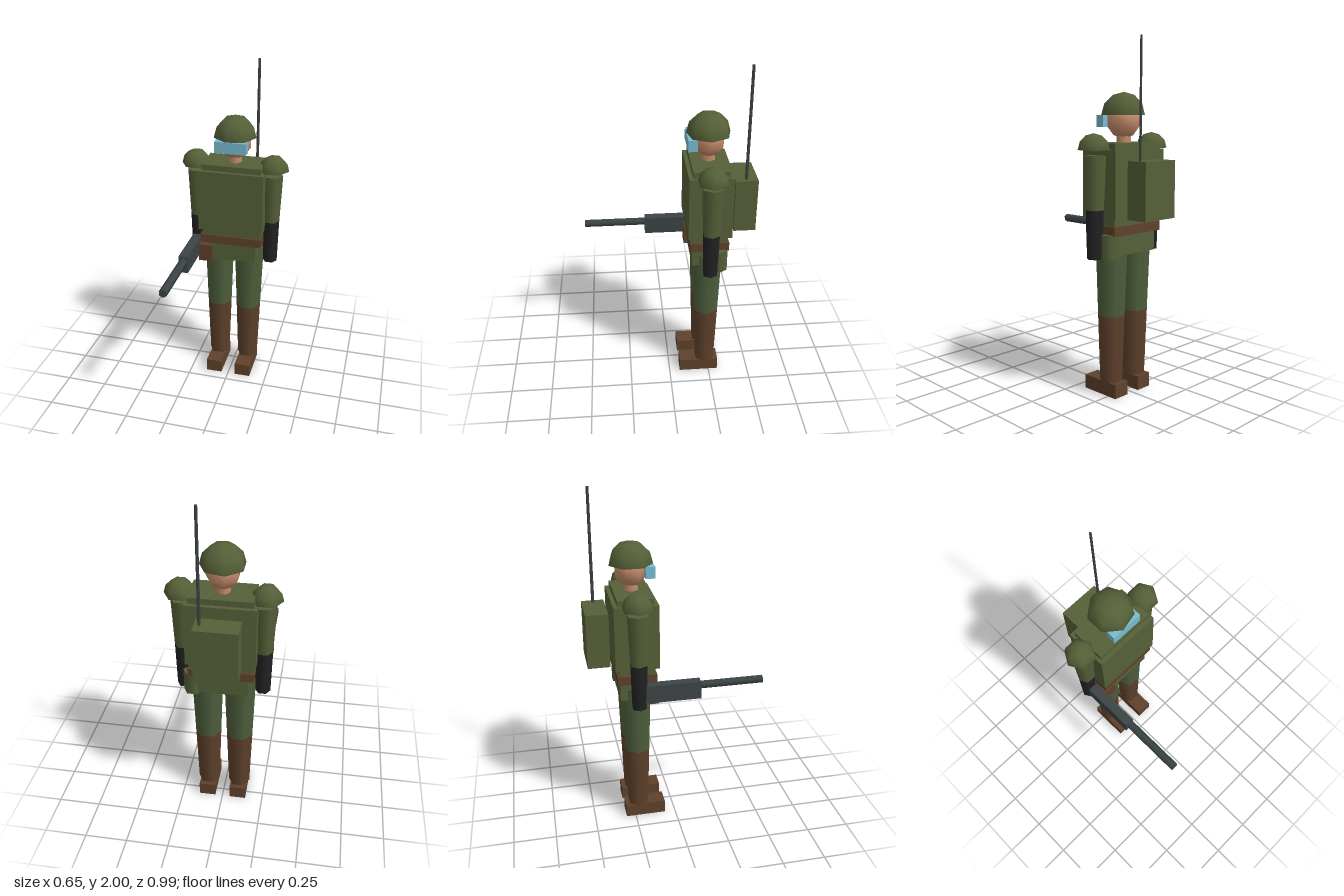
import * as THREE from 'three';

const mat = (name, color, side = THREE.FrontSide) => {
  const m = new THREE.MeshStandardMaterial({ color, side });
  m.name = name;
  return m;
};

export function createModel() {
  const olive = mat('olive armour', 0x556038, THREE.DoubleSide);
  const cloth = mat('green trousers', 0x4e5f3c);
  const leather = mat('brown leather', 0x5f412b);
  const skin = mat('skin', 0xc68e6c);
  const glass = mat('blue visor', 0x78bcd2);
  const black = mat('black glove', 0x222222);
  const metal = mat('gunmetal', 0x3c4446);

  const model = new THREE.Group();
  model.name = 'radioSoldier';
  const Z = -0.225; // body axis

  const add = (name, geometry, material, x, y, z) => {
    const mesh = new THREE.Mesh(geometry, material);
    mesh.name = name;
    mesh.position.set(x, y, z);
    model.add(mesh);
    return mesh;
  };
  // box given by its extents on each axis
  const box = (name, material, [x0, x1], [y0, y1], [z0, z1]) =>
    add(name, new THREE.BoxGeometry(x1 - x0, y1 - y0, z1 - z0), material,
      (x0 + x1) / 2, (y0 + y1) / 2, (z0 + z1) / 2);
  // upright cylinder between two heights, first corner on +x
  const post = (name, material, x, z, y0, y1, r0, r1, sides = 6) =>
    add(name, new THREE.CylinderGeometry(r1, r0, y1 - y0, sides).rotateY(Math.PI / 2),
      material, x, (y0 + y1) / 2, z);
  const dome = (name, x, y, r, sides) =>
    add(name, new THREE.SphereGeometry(r, sides, 3, 0, Math.PI * 2, 0, Math.PI / 2)
      .rotateY(Math.PI), olive, x, y, Z);
  // extents symmetric about a centre
  const span = (half, centre = 0) => [centre - half, centre + half];

  // torso
  box('pelvis', olive, span(0.155), [0.825, 0.96], span(0.097, Z));
  box('torso', olive, span(0.178), [0.95, 1.44], span(0.102, Z));
  box('vest', olive, span(0.196), [1.03, 1.405], span(0.125, Z));
  box('belt', leather, span(0.187), [0.938, 0.99], span(0.112, Z));

  // limbs
  for (const [side, s] of [['left', 1], ['right', -1]]) {
    box(side + 'Foot', leather, span(0.05, s * 0.095), [0, 0.082], [-0.307, -0.065]);
    post(side + 'Boot', leather, s * 0.095, Z, 0.08, 0.47, 0.065, 0.078);
    post(side + 'Thigh', cloth, s * 0.095, Z, 0.47, 0.89, 0.078, 0.092);
    post(side + 'Sleeve', olive, s * 0.227, Z, 1.08, 1.375, 0.051, 0.064);
    post(side + 'Glove', black, s * 0.227, Z, 0.81, 1.08, 0.044, 0.051);
    dome(side + 'ShoulderPad', s * 0.235, 1.405, 0.09, 6);
  }

  // head
  post('neck', skin, 0, Z, 1.42, 1.5, 0.042, 0.042);
  add('head', new THREE.SphereGeometry(0.098, 7, 5).rotateY(Math.PI), skin, 0, 1.56, Z);
  box('visor', glass, span(0.094), [1.525, 1.592], [-0.155, -0.102]);
  dome('helmet', 0, 1.592, 0.127, 7);

  // hip gear
  box('holster', leather, [-0.2, -0.115], [0.81, 0.92], [-0.165, -0.108]);
  post('canteen', olive, 0.167, -0.28, 0.81, 0.945, 0.055, 0.055);

  // radio pack
  box('radioPack', olive, span(0.121), [1.03, 1.348], [-0.497, -0.369]);
  post('antenna', metal, 0.092, -0.432, 1.34, 2, 0.009, 0.008, 4);

  // rifle held in the right hand
  box('rifleBody', metal, span(0.028, -0.225), [0.845, 0.95], [-0.21, 0.128]);
  add('rifleBarrel', new THREE.CylinderGeometry(0.025, 0.025, 0.38, 6).rotateX(Math.PI / 2),
    metal, -0.223, 0.918, 0.307);

  return model;
}
